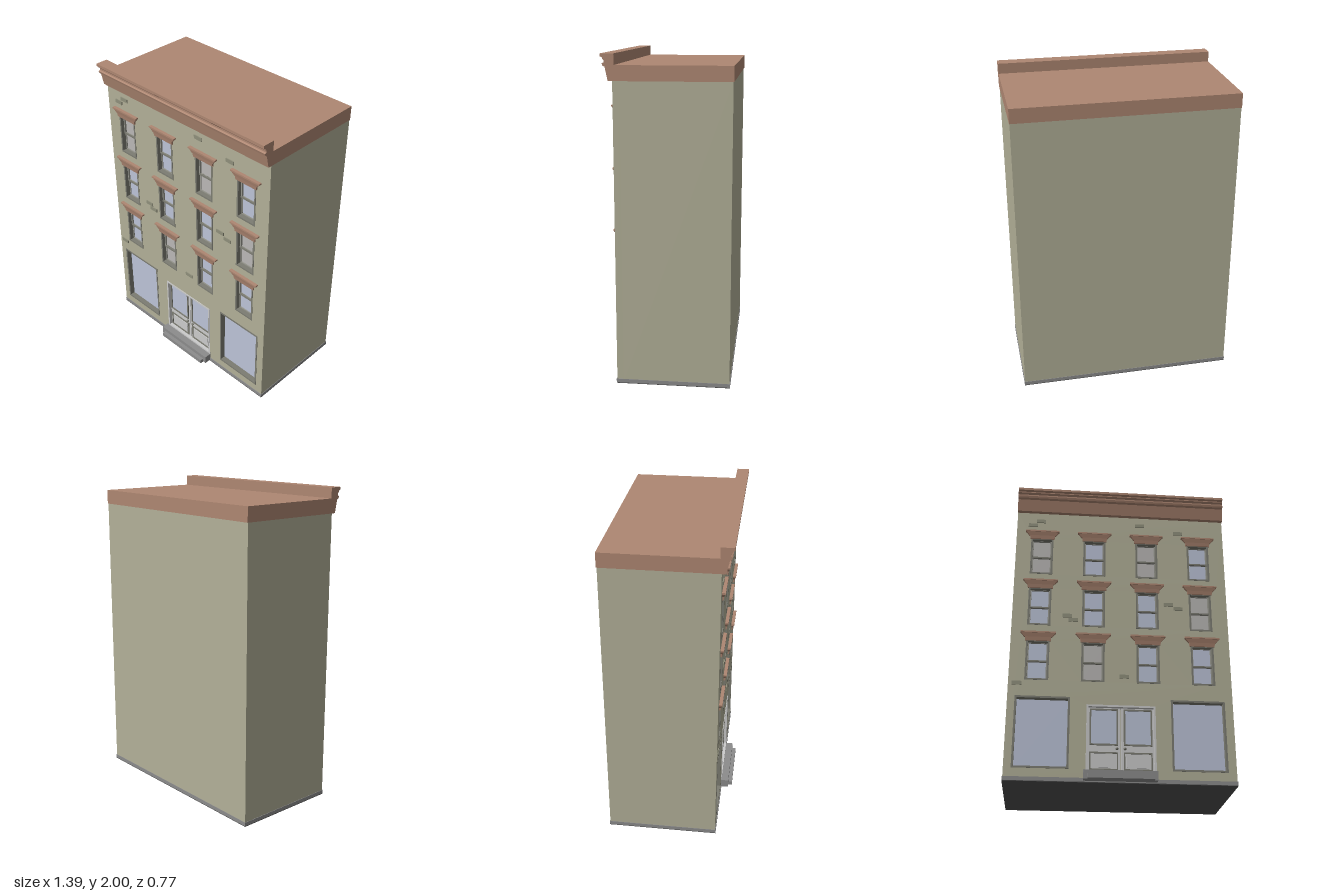
import * as THREE from 'three';

const mat = (color, extra = {}) => new THREE.MeshStandardMaterial({ color, ...extra });
const M = {
  wall: mat(0xb2b098), trim: mat(0xae8772), glass: mat(0xbcc4d8), blind: mat(0xbab8b6),
  frame: mat(0x7c7c72), sash: mat(0x98988f), stone: mat(0x8c8c8c), door: mat(0xc2c2be),
  brick: mat(0x8f8f7b), dark: mat(0x505050),
};
const FRONT = 0.31, BACK = -0.38, INNER = 0.27, HALF = 0.69;

export function createModel() {
  const root = new THREE.Group();
  root.name = 'townBuilding';

  const add = (parent, name, geo, material) => {
    const mesh = new THREE.Mesh(geo, material);
    mesh.name = name;
    parent.add(mesh);
    return mesh;
  };
  // Box from its limits
  const box = (parent, name, material, x0, x1, y0, y1, z0, z1) =>
    add(parent, name, new THREE.BoxGeometry(x1 - x0, y1 - y0, z1 - z0)
      .translate((x0 + x1) / 2, (y0 + y1) / 2, (z0 + z1) / 2), material);
  const rect = (Type, x0, x1, y0, y1) => {
    const p = new Type();
    p.moveTo(x0, y0); p.lineTo(x1, y0); p.lineTo(x1, y1); p.lineTo(x0, y1); p.closePath();
    return p;
  };
  // Rectangular ring of thickness t
  const ring = (parent, name, material, [x0, x1, y0, y1], t, z0, z1) => {
    const s = rect(THREE.Shape, x0, x1, y0, y1);
    s.holes.push(rect(THREE.Path, x0 + t, x1 - t, y0 + t, y1 - t));
    const g = new THREE.ExtrudeGeometry(s, { depth: z1 - z0, bevelEnabled: false });
    return add(parent, name, g.translate(0, 0, z0), material);
  };
  // Block against the facade that widens and deepens towards its top
  const flare = (parent, name, material, y0, y1, w0, w1, d0, d1) => {
    const g = new THREE.BoxGeometry(1, 1, 1).toNonIndexed();
    const p = g.attributes.position;
    for (let i = 0; i < p.count; i++) {
      const top = p.getY(i) > 0, front = p.getZ(i) > 0;
      p.setXYZ(i, p.getX(i) * 2 * (top ? w1 : w0), top ? y1 : y0, front ? (top ? d1 : d0) : -0.005);
    }
    g.computeVertexNormals();
    return add(parent, name, g, material);
  };

  // Openings in the facade
  const columns = [-0.52, -0.175, 0.17, 0.515];
  const rows = [0.635, 1.01, 1.38];
  const shops = [[-0.645, -0.31, 0.08, 0.53], [0.305, 0.64, 0.08, 0.53]];
  const doorway = [-0.21, 0.21, 0.065, 0.485];
  const windows = [];
  rows.forEach((y, r) => columns.forEach((x, c) => windows.push({ x, y, r, c, o: [x - 0.073, x + 0.073, y, y + 0.27] })));

  // Walls
  box(root, 'mainBlock', M.wall, -HALF, HALF, 0.01, 1.85, BACK, INNER);
  const facade = rect(THREE.Shape, -HALF, HALF, 0.01, 1.85);
  [...shops, doorway, ...windows.map(w => w.o)].forEach(o => facade.holes.push(rect(THREE.Path, ...o)));
  add(root, 'frontWall', new THREE.ExtrudeGeometry(facade, { depth: FRONT - INNER, bevelEnabled: false })
    .translate(0, 0, INNER), M.wall);
  box(root, 'plinth', M.stone, -0.693, 0.693, 0.004, 0.027, -0.383, 0.314);
  box(root, 'underside', M.dark, -0.693, 0.693, 0, 0.004, -0.383, 0.314);

  // Roof and cornice
  box(root, 'roof', M.trim, -0.692, 0.692, 1.845, 1.935, -0.384, 0.312);
  const profile = [[0.3, 1.845], [0.335, 1.845], [0.352, 1.925], [0.364, 1.932], [0.368, 1.945], [0.356, 1.95],
    [0.356, 1.962], [0.366, 1.972], [0.366, 1.978], [0.379, 1.984], [0.379, 2], [0.3, 2]];
  const cornice = new THREE.ExtrudeGeometry(
    new THREE.Shape(profile.map(p => new THREE.Vector2(...p))), { depth: 1.384, bevelEnabled: false });
  add(root, 'cornice', cornice.rotateY(-Math.PI / 2).translate(0.692, 0, 0), M.trim);

  // Sash windows with flared lintels
  const blinds = ['2,0', '2,2', '1,3', '0,1'];
  for (const { x, y, r, c, o } of windows) {
    const g = new THREE.Group();
    g.name = 'sashWindow';
    root.add(g);
    const pane = blinds.includes(`${r},${c}`) ? M.blind : M.glass;
    const [x0, x1, y0, y1] = o, mid = y0 + 0.135;
    box(g, 'pane', pane, x0, x1, y0, y1, INNER, 0.276);
    ring(g, 'windowFrame', M.frame, o, 0.011, INNER, 0.312);
    ring(g, 'upperSash', M.sash, [x0 + 0.011, x1 - 0.011, mid - 0.005, y1 - 0.005], 0.007, 0.275, 0.289);
    ring(g, 'lowerSash', M.sash, [x0 + 0.011, x1 - 0.011, y0 + 0.011, mid + 0.005], 0.007, 0.275, 0.282);
    box(g, 'meetingRail', M.frame, x0 + 0.011, x1 - 0.011, mid - 0.005, mid + 0.005, 0.275, 0.291);
    const lintel = new THREE.Group();
    lintel.name = 'lintel';
    lintel.position.set(x, y + 0.263, FRONT);
    g.add(lintel);
    flare(lintel, 'lintelBand', M.trim, 0, 0.024, 0.08, 0.082, 0.008, 0.012);
    flare(lintel, 'lintelFlare', M.trim, 0.024, 0.05, 0.086, 0.107, 0.012, 0.018);
    flare(lintel, 'lintelCap', M.trim, 0.05, 0.06, 0.111, 0.111, 0.021, 0.021);
  }

  // Shop windows
  for (const o of shops) {
    box(root, 'shopPane', M.glass, ...o, INNER, 0.276);
    ring(root, 'shopFrame', M.frame, o, 0.012, INNER, 0.312);
  }

  // Double door
  const entry = new THREE.Group();
  entry.name = 'entrance';
  root.add(entry);
  ring(entry, 'doorSurround', M.door, doorway, 0.012, INNER, 0.314);
  for (const s of [-1, 1]) {
    const span = (a, b) => (s > 0 ? [a, b] : [-b, -a]);
    box(entry, 'doorLeaf', M.door, ...span(0.002, 0.198), 0.065, 0.473, INNER, 0.291);
    box(entry, 'doorPane', M.glass, ...span(0.02, 0.186), 0.24, 0.46, 0.285, 0.293);
    ring(entry, 'doorPaneFrame', M.frame, [...span(0.017, 0.189), 0.235, 0.465], 0.009, 0.285, 0.299);
    ring(entry, 'doorPanelFrame', M.frame, [...span(0.017, 0.189), 0.083, 0.193], 0.008, 0.285, 0.297);
    box(entry, 'doorPanel', M.door, ...span(0.034, 0.172), 0.1, 0.176, 0.285, 0.296);
    const knob = add(entry, 'doorKnob', new THREE.SphereGeometry(0.009, 12, 8), M.frame);
    knob.position.set(s * 0.024, 0.215, 0.298);
  }

  // Entrance steps
  box(root, 'upperStep', M.stone, -0.225, 0.212, 0.01, 0.065, 0.28, 0.36);
  box(root, 'lowerStep', M.stone, -0.2, 0.19, 0.01, 0.038, 0.3, 0.385);

  // Raised bricks scattered over the facade
  const bricks = [[-0.585, 1.75], [-0.532, 1.783], [0.127, 1.783], [0.385, 1.737], [0.308, 1.19], [0.37, 1.163],
    [-0.343, 1.083], [-0.304, 1.054], [-0.638, 0.611], [0.02, 0.675]];
  for (const [x, y] of bricks) box(root, 'raisedBrick', M.brick, x - 0.03, x + 0.03, y - 0.012, y + 0.012, 0.3, 0.316);

  return root;
}
